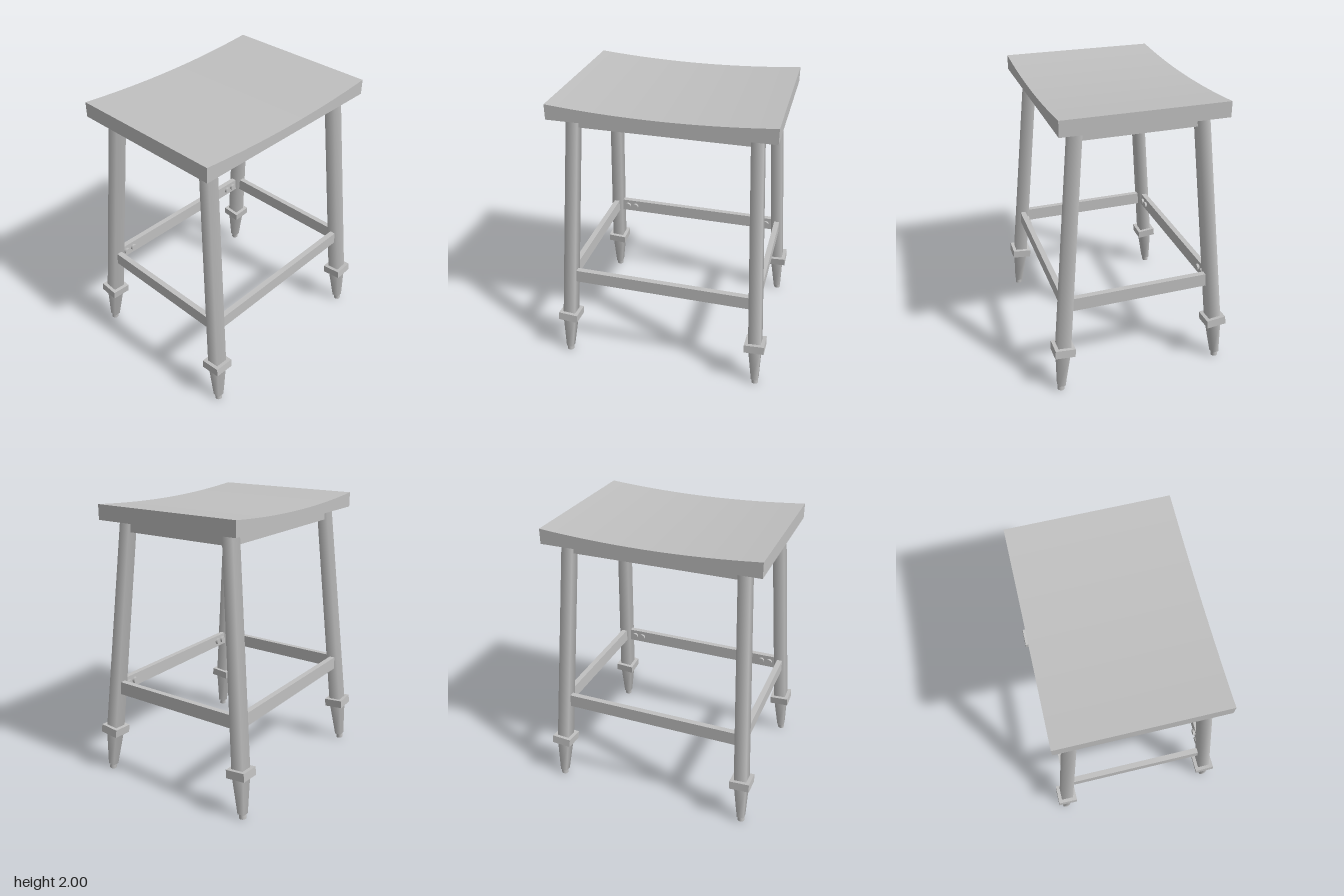
import * as THREE from 'three';
import { toCreasedNormals } from 'three/addons/utils/BufferGeometryUtils.js';

export function createModel() {
  const model = new THREE.Group();
  model.name = 'stool';
  const grey = new THREE.MeshStandardMaterial({ color: 0xc0c0c0 });
  grey.name = 'light grey';

  const add = (parent, name, geometry, x = 0, y = 0, z = 0) => {
    const mesh = new THREE.Mesh(geometry, grey);
    mesh.name = name;
    mesh.position.set(x, y, z);
    parent.add(mesh);
    return mesh;
  };

  // Square tapered bar with softly shaded corners, standing on its base
  const taperedBar = (topWidth, bottomWidth, height) =>
    new THREE.CylinderGeometry(topWidth / Math.SQRT2, bottomWidth / Math.SQRT2, height, 4)
      .rotateY(Math.PI / 4)
      .translate(0, height / 2, 0);

  // Seat: slab with a shallow curved top
  const halfWidth = 0.75, depth = 1.11, steps = 24;
  const profile = new THREE.Shape();
  profile.moveTo(-halfWidth, 1.895);
  profile.lineTo(halfWidth, 1.895);
  for (let i = 0; i <= steps; i++) {
    const t = 1 - (2 * i) / steps;
    profile.lineTo(t * halfWidth, 1.965 + 0.035 * t * t);
  }
  profile.closePath();
  const seat = new THREE.ExtrudeGeometry(profile, { depth, bevelEnabled: false });
  add(model, 'seat', toCreasedNormals(seat.translate(0, 0, -depth / 2), 0.5));

  // Centre line of a splayed leg at height y
  const legX = (y) => 0.719 - 0.0586 * y;
  const legZ = (y) => 0.595 - 0.0925 * y;

  // Legs, each with collar, tapered foot and round tip
  const up = new THREE.Vector3(0, 1, 0);
  for (const sx of [-1, 1]) {
    for (const sz of [-1, 1]) {
      const leg = new THREE.Group();
      leg.name = (sz > 0 ? 'front' : 'back') + (sx > 0 ? 'Left' : 'Right') + 'Leg';
      leg.position.set(sx * legX(0), 0, sz * legZ(0));
      const axis = new THREE.Vector3(-sx * 0.0586, 1, -sz * 0.0925).normalize();
      leg.quaternion.setFromUnitVectors(up, axis);
      add(leg, 'legPost', taperedBar(0.08, 0.09, 1.575), 0, 0.335, 0);
      add(leg, 'collar', new THREE.BoxGeometry(0.142, 0.06, 0.142), 0, 0.332, 0);
      add(leg, 'foot', taperedBar(0.088, 0.05, 0.275), 0, 0.034, 0);
      add(leg, 'footTip', new THREE.CylinderGeometry(0.025, 0.025, 0.036, 16), 0, 0.02, 0);
      model.add(leg);
    }
  }

  // Aprons under the seat and stretchers between the legs
  const rails = [
    { name: 'Apron', y: 1.8535, height: 0.085 },
    { name: 'Stretcher', y: 0.6725, height: 0.095 },
  ];
  const thickness = 0.04;
  for (const { name, y, height } of rails) {
    const x = legX(y), z = legZ(y);
    for (const s of [-1, 1]) {
      add(model, (s > 0 ? 'front' : 'back') + name,
        new THREE.BoxGeometry(2 * x, height, thickness), 0, y, s * z);
      add(model, (s > 0 ? 'left' : 'right') + name,
        new THREE.BoxGeometry(thickness, height, 2 * z), s * x, y, 0);
    }
  }

  // Pairs of bolts on the inner faces of the long stretchers
  const bolt = new THREE.CylinderGeometry(0.024, 0.024, 0.02, 16).rotateX(Math.PI / 2);
  const boltZ = legZ(0.6725) - thickness / 2 - 0.008;
  for (const sz of [-1, 1]) {
    for (const x of [-0.59, -0.525, 0.525, 0.59]) {
      add(model, 'bolt', bolt, x, 0.6725, sz * boltZ);
    }
  }

  return model;
}
